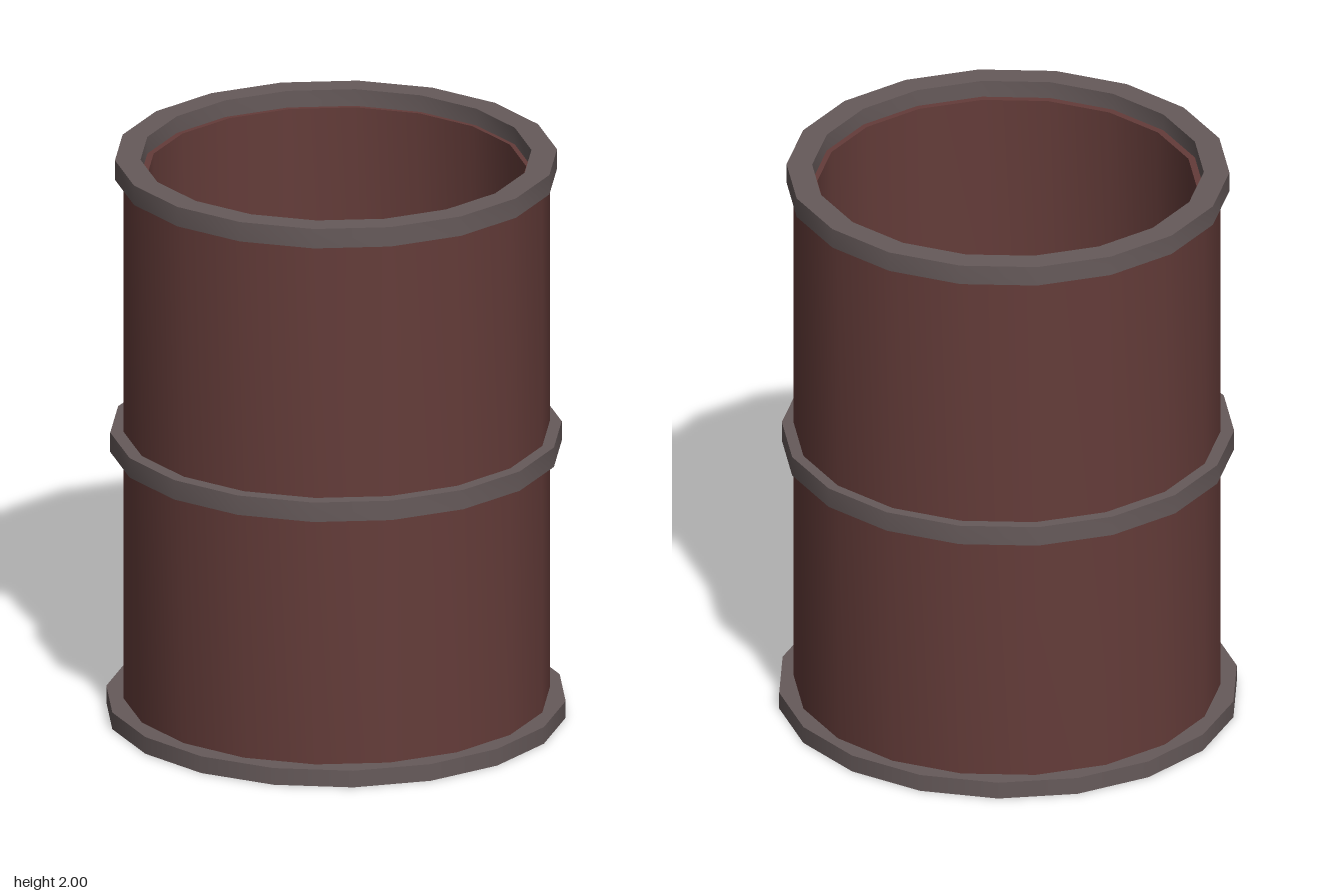
import * as THREE from 'three';
import { toCreasedNormals } from 'three/addons/utils/BufferGeometryUtils.js';

const SIDES = 18;

// Hollow ring with a rectangular section, smooth around and sharp at its rims
function ring(name, inner, outer, y0, y1, material) {
  const profile = [[outer, y0], [outer, y1], [inner, y1], [inner, y0], [outer, y0]]
    .map(([r, y]) => new THREE.Vector2(r, y));
  const geometry = toCreasedNormals(new THREE.LatheGeometry(profile, SIDES), Math.PI / 6);
  const mesh = new THREE.Mesh(geometry, material);
  mesh.name = name;
  return mesh;
}

export function createModel() {
  const group = new THREE.Group();
  group.name = 'barrel';
  const rust = new THREE.MeshStandardMaterial({ color: 0x643c39 });
  const iron = new THREE.MeshStandardMaterial({ color: 0x665a5a });

  // Open drum wall
  const wall = ring('drumWall', 0.645, 0.725, 0.01, 1.94, rust);
  wall.position.z = -0.005;
  group.add(wall);

  // Bands around the rim and the middle
  const rim = ring('topRim', 0.665, 0.752, 1.93, 2, iron);
  const band = ring('middleBand', 0.69, 0.768, 0.95, 1.02, iron);
  group.add(rim, band);

  // Solid base plate, turned by half a side
  const base = new THREE.Mesh(new THREE.CylinderGeometry(0.783, 0.783, 0.06, SIDES), iron);
  base.name = 'basePlate';
  base.position.y = 0.03;
  base.rotation.y = Math.PI / SIDES;
  group.add(base);

  return group;
}
